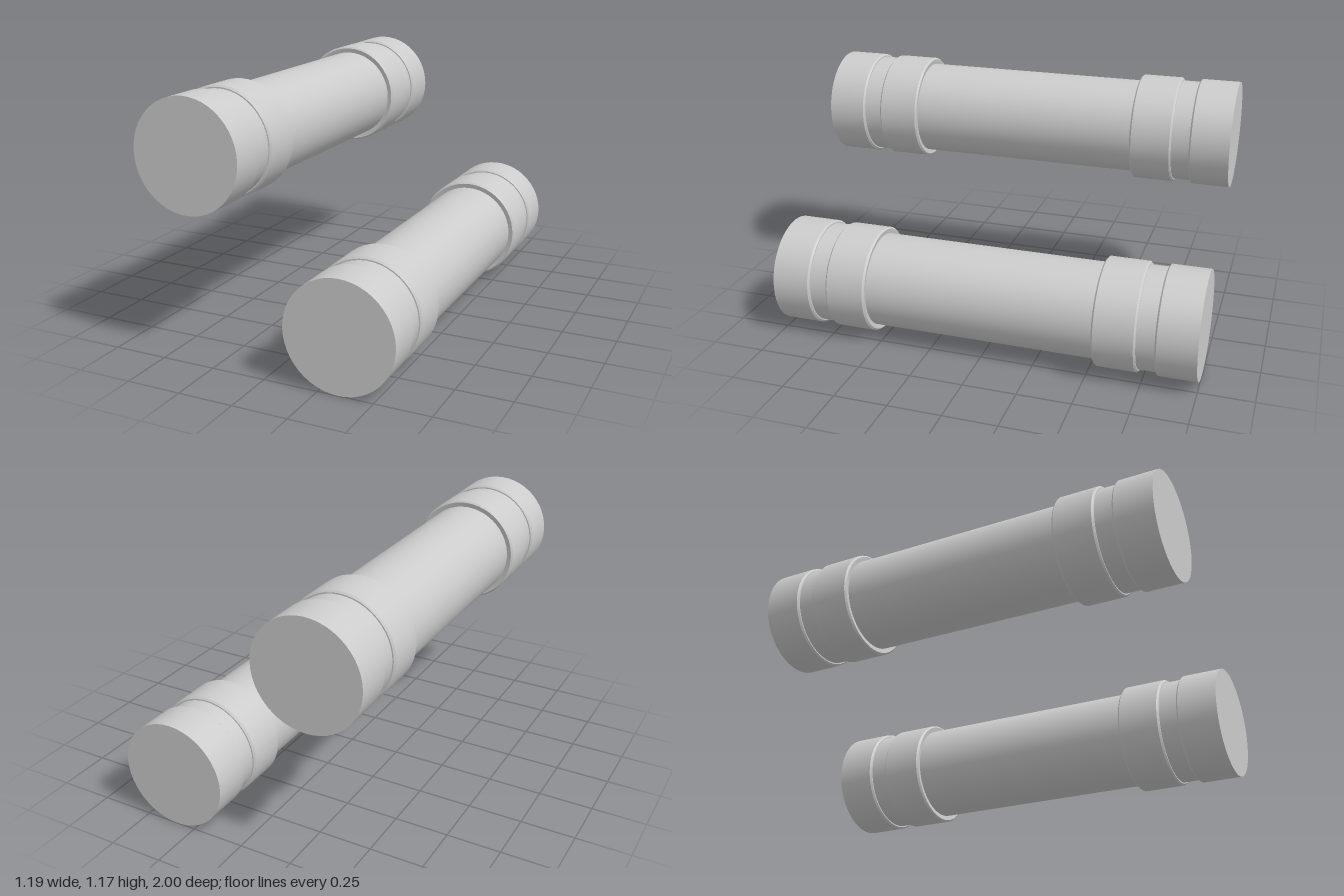
import * as THREE from 'three';
import { toCreasedNormals } from 'three/addons/utils/BufferGeometryUtils.js';

const SEGMENTS = 48;
const R_COLLAR = 0.251, R_NECK = 0.237, R_TUBE = 0.221;
const BEVEL = 0.008;

const material = new THREE.MeshStandardMaterial({ color: 0xcccccc });

// Solid of revolution about z from [radius, z] pairs, z rising
function turned(name, profile) {
  const points = profile.map(([r, z]) => new THREE.Vector2(r, z));
  const geometry = new THREE.LatheGeometry(points, SEGMENTS);
  geometry.rotateX(Math.PI / 2);
  const mesh = new THREE.Mesh(toCreasedNormals(geometry, 0.5), material);
  mesh.name = name;
  return mesh;
}

// One fitting (neck ring, inner collar, end cap) on the +z end
function createFitting() {
  const fitting = new THREE.Group();
  fitting.name = 'endFitting';
  fitting.add(
    turned('innerCollar', [
      [R_TUBE, 0.54], [R_COLLAR - BEVEL, 0.536], [R_COLLAR, 0.536 + BEVEL],
      [R_COLLAR, 0.732 - BEVEL], [R_COLLAR - BEVEL, 0.732], [R_NECK - 0.004, 0.732],
    ]),
    turned('neckRing', [[R_NECK, 0.73], [R_NECK, 0.817]]),
    turned('endCap', [
      [R_NECK - 0.004, 0.815], [R_COLLAR - BEVEL, 0.815], [R_COLLAR, 0.815 + BEVEL],
      [R_COLLAR, 1], [0, 1],
    ]),
  );
  return fitting;
}

// A long tube with a fitting at each end
function createRod(name, x, y) {
  const rod = new THREE.Group();
  rod.name = name;
  rod.add(turned('tube', [[R_TUBE, -0.55], [R_TUBE, 0.55]]));
  for (const turn of [0, Math.PI]) {
    const fitting = createFitting();
    fitting.rotation.y = turn;
    rod.add(fitting);
  }
  rod.position.set(x, y, 0);
  return rod;
}

export function createModel() {
  const model = new THREE.Group();
  model.name = 'rodPair';
  model.add(
    createRod('upperRod', -0.344, 0.917),
    createRod('lowerRod', 0.344, 0.252),
  );
  return model;
}
